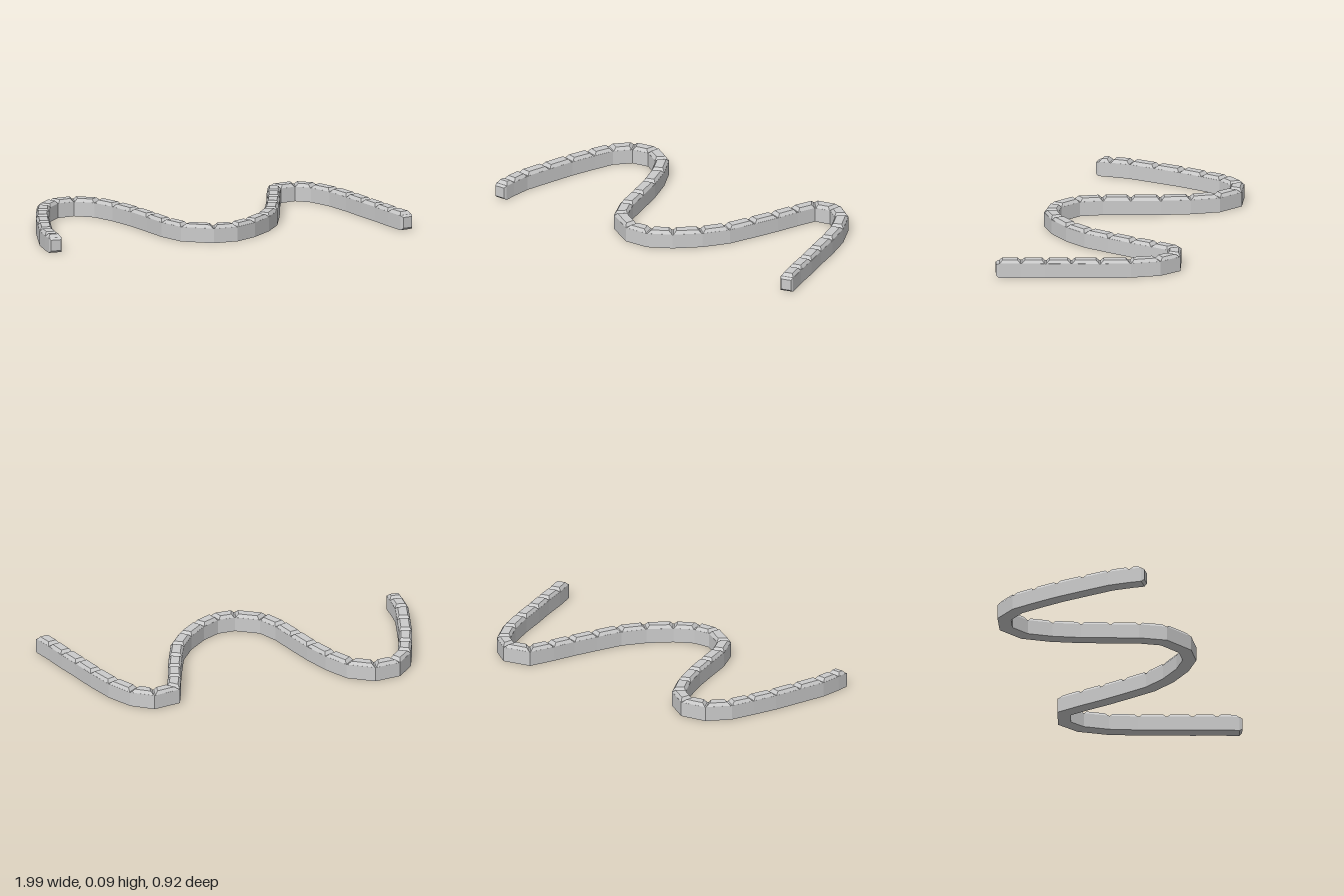
import * as THREE from 'three';

// Joints of the wall's centre line on the ground, as [x, z]
const PATH = [
  [-0.963, 0.402], [-0.963, 0.337], [-0.957, 0.225], [-0.922, 0.08], [-0.885, -0.07],
  [-0.842, -0.203], [-0.80, -0.32], [-0.72, -0.412], [-0.602, -0.433], [-0.489, -0.362],
  [-0.42, -0.235], [-0.366, -0.09], [-0.324, 0.06], [-0.286, 0.203], [-0.227, 0.326],
  [-0.094, 0.406], [0.019, 0.40], [0.126, 0.335], [0.233, 0.23], [0.313, 0.112],
  [0.366, -0.027], [0.414, -0.16], [0.452, -0.283], [0.495, -0.402], [0.612, -0.43],
  [0.703, -0.366], [0.773, -0.235], [0.821, -0.085], [0.858, 0.06], [0.895, 0.19],
  [0.925, 0.315], [0.959, 0.428],
].map(([x, z]) => new THREE.Vector2(x, z));

const HALF = 0.035;      // half the wall's width
const BODY_TOP = 0.078;
const STONE_TOP = 0.095;
const BEVEL = 0.012;
const CAP = 0.015;       // length of the tapered ends

// Skins four-cornered rings (counter-clockwise seen from the last ring) and closes both ends
function loft(rings) {
  const pos = rings.flat().flatMap((p) => [p.x, p.y, p.z]);
  const idx = [];
  for (let r = 0; r < rings.length - 1; r++) {
    for (let i = 0; i < 4; i++) {
      const a = r * 4 + i, b = r * 4 + (i + 1) % 4;
      idx.push(a, b, b + 4, a, b + 4, a + 4);
    }
  }
  const e = (rings.length - 1) * 4;
  idx.push(0, 2, 1, 0, 3, 2, e, e + 1, e + 2, e, e + 2, e + 3);
  const geo = new THREE.BufferGeometry();
  geo.setAttribute('position', new THREE.Float32BufferAttribute(pos, 3));
  geo.setIndex(idx);
  const flat = geo.toNonIndexed();
  flat.computeVertexNormals();
  return flat;
}

export function createModel() {
  const group = new THREE.Group();
  group.name = 'windingWall';
  const material = new THREE.MeshStandardMaterial({ color: 0xcccccc, flatShading: true });
  const add = (geo, name) => {
    const mesh = new THREE.Mesh(geo, material);
    mesh.name = name;
    group.add(mesh);
  };

  // Direction of each segment, and the mitred sideways vector at each joint
  const last = PATH.length - 1;
  const dirs = PATH.slice(1).map((p, i) => p.clone().sub(PATH[i]).normalize());
  const mitres = PATH.map((_, i) => {
    const a = dirs[Math.max(i - 1, 0)], b = dirs[Math.min(i, last - 1)];
    const t = a.clone().add(b).normalize();
    return new THREE.Vector2(-t.y, t.x).divideScalar(t.dot(a));
  });

  // Point at joint i: sideways by side, forward along segment s by shift, at height y
  const at = (i, s, side, shift, y) => {
    const p = PATH[i].clone().addScaledVector(mitres[i], side).addScaledVector(dirs[s], shift);
    return new THREE.Vector3(p.x, y, p.y);
  };
  const section = (i, s, half, shift, y0, y1) => [
    at(i, s, half, shift, y0), at(i, s, -half, shift, y0),
    at(i, s, -half, shift, y1), at(i, s, half, shift, y1),
  ];

  // Continuous body with tapered ends
  const slim = HALF - BEVEL * 0.6;
  add(loft([
    section(0, 0, slim, -CAP, BEVEL, BODY_TOP - 0.008),
    ...PATH.map((_, i) => section(i, 0, HALF, 0, 0, BODY_TOP)),
    section(last, last - 1, slim, CAP, BEVEL, BODY_TOP - 0.008),
  ]), 'wallBody');

  // Bevelled capstones with grooves between them
  const outline = (s, half, gap, y) => [
    at(s, s, half, gap, y), at(s + 1, s, half, -gap, y),
    at(s + 1, s, -half, -gap, y), at(s, s, -half, gap, y),
  ];
  for (let s = 0; s < last; s++) {
    add(loft([
      outline(s, HALF, 0.003, BODY_TOP - 0.001),
      outline(s, HALF - BEVEL, 0.02, STONE_TOP),
    ]), 'capstone' + (s + 1));
  }
  return group;
}
